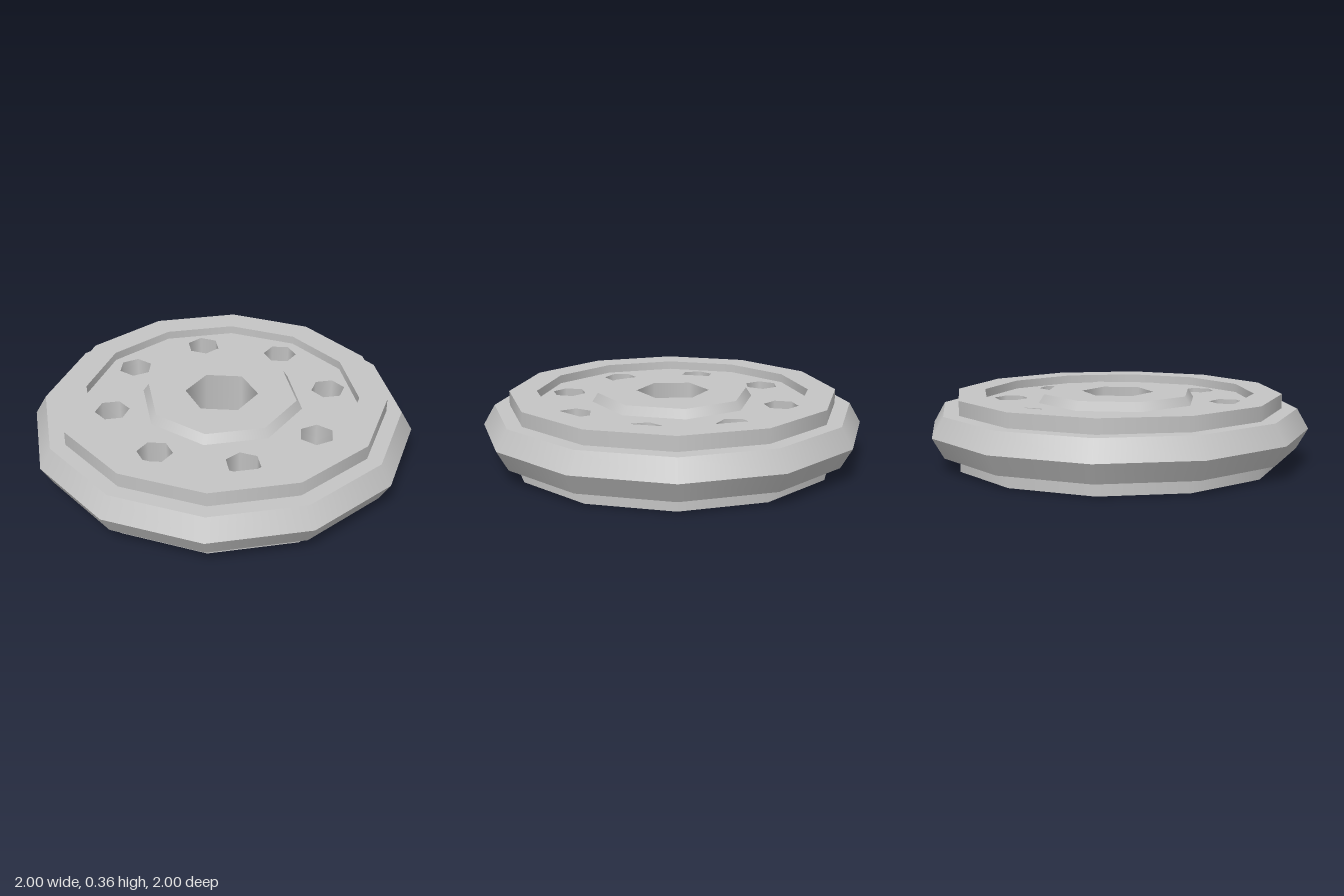
import * as THREE from 'three';
import { mergeGeometries } from 'three/addons/utils/BufferGeometryUtils.js';

const HEIGHT = 0.36, FLOOR = 0.315;          // overall height, top of the recessed web
const HOLES = 8, HOLE_RING = 0.575, HOLE_R = 0.09, BORE_R = 0.19;

// Regular polygon outline with its first corner at the given angle from +z
function polygon(sides, r, turn = 0, cx = 0, cy = 0, Type = THREE.Path) {
  const pts = [];
  for (let i = 0; i < sides; i++) {
    const a = turn + (i / sides) * Math.PI * 2;
    pts.push(new THREE.Vector2(cx + r * Math.sin(a), cy + r * Math.cos(a)));
  }
  return new Type(pts);
}

// Turned profile, each band smooth around the axis with sharp edges between bands
function turned(profile, sides, turn = 0) {
  const bands = [];
  for (let i = 0; i < profile.length - 1; i++) {
    const pts = [profile[i], profile[i + 1]].map(([r, y]) => new THREE.Vector2(r, y));
    bands.push(new THREE.LatheGeometry(pts, sides, turn));
  }
  return mergeGeometries(bands);
}

export function createModel() {
  const model = new THREE.Group();
  const metal = new THREE.MeshStandardMaterial({ color: 0xc4c4c4 });
  metal.name = 'grey metal';
  const inner = new THREE.MeshStandardMaterial({ color: 0xc4c4c4, side: THREE.DoubleSide });
  inner.name = 'grey metal inside';

  function add(name, geometry, material = metal) {
    const mesh = new THREE.Mesh(geometry, material);
    mesh.name = name;
    model.add(mesh);
    return mesh;
  }

  // Twelve-sided rim with a ridged tread
  add('rim', turned([
    [0.715, HEIGHT - FLOOR], [0.715, 0], [0.86, 0], [0.86, 0.075], [0.94, 0.075], [1, 0.18],
    [0.94, 0.285], [0.86, 0.285], [0.86, HEIGHT], [0.715, HEIGHT], [0.715, FLOOR],
  ], 12));

  // Recessed web, pierced by a ring of holes and open under the hub
  const web = polygon(12, 0.715, 0, 0, 0, THREE.Shape);
  web.holes.push(polygon(8, 0.425, Math.PI / 8));
  for (let i = 0; i < HOLES; i++) {
    const a = (i / HOLES) * Math.PI * 2;
    const x = HOLE_RING * Math.sin(a), z = HOLE_RING * Math.cos(a);
    web.holes.push(polygon(6, HOLE_R, a, x, z));
    const wall = add('holeWall', new THREE.CylinderGeometry(HOLE_R, HOLE_R, 2 * FLOOR - HEIGHT, 6, 1, true), inner);
    wall.position.set(x, HEIGHT / 2, z);
    wall.rotation.y = a;
  }

  // Octagonal hub face with the central bore
  const hub = polygon(8, 0.395, Math.PI / 8, 0, 0, THREE.Shape);
  hub.holes.push(polygon(6, BORE_R));

  // Both sides of the disc
  for (const side of [1, -1]) {
    const y = (h) => HEIGHT / 2 + side * (h - HEIGHT / 2);
    const face = (name, shape, h) =>
      add(name, new THREE.ShapeGeometry(shape).rotateX(-side * Math.PI / 2).translate(0, y(h), 0));
    face('web', web, FLOOR);
    face('hubFace', hub, HEIGHT);
    const slope = [[0.425, y(FLOOR)], [0.395, y(HEIGHT)]];
    add('hubChamfer', turned(side > 0 ? slope : slope.reverse(), 8, Math.PI / 8));
  }

  // Central hexagonal bore
  add('bore', new THREE.CylinderGeometry(BORE_R, BORE_R, HEIGHT, 6, 1, true), inner)
    .position.y = HEIGHT / 2;

  return model;
}
